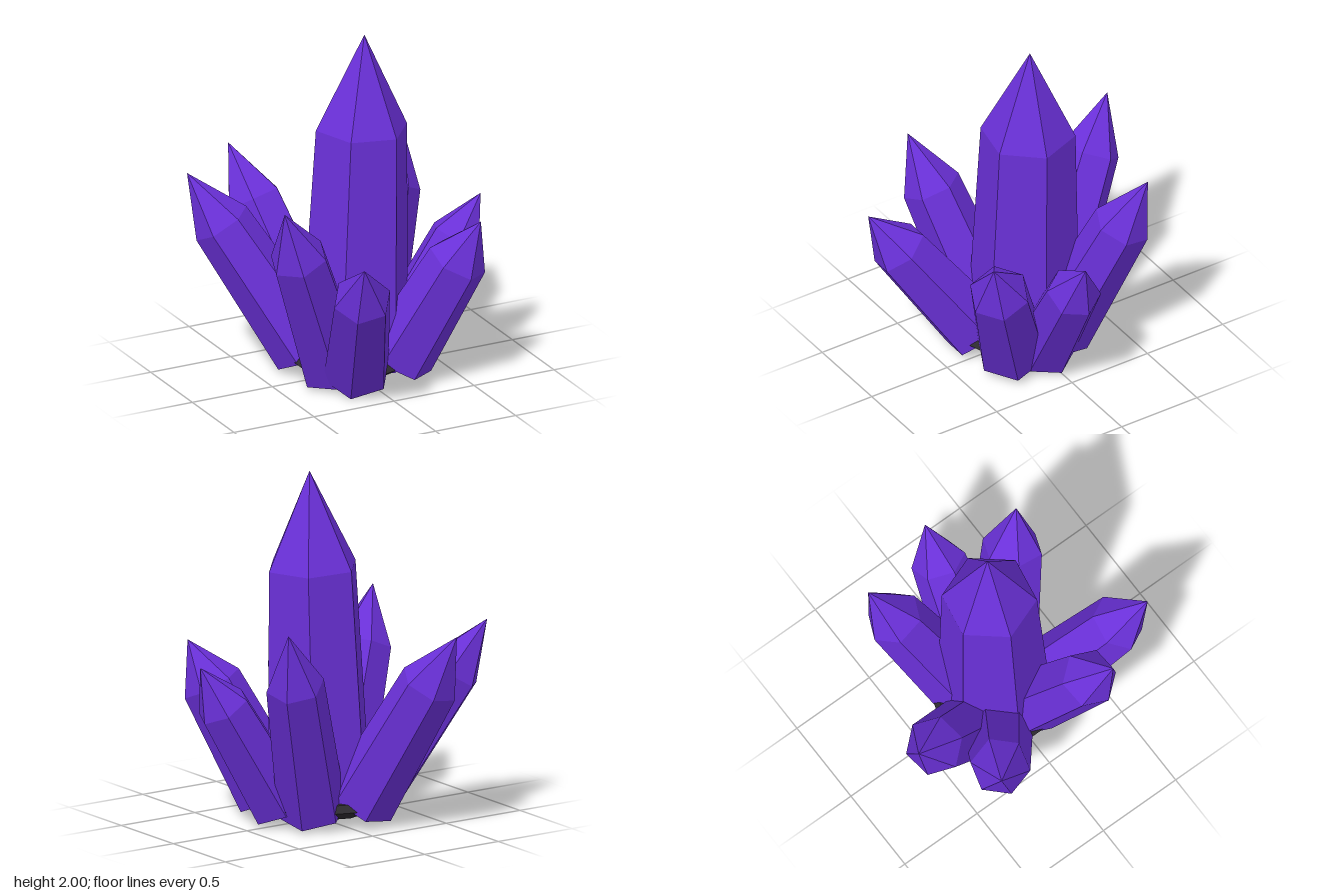
import * as THREE from 'three';

const rad = THREE.MathUtils.degToRad;

// Faceted solid of revolution from [radius, height] pairs
function faceted(profile, sides, start) {
  const points = profile.map(([r, y]) => new THREE.Vector2(r, y));
  const geo = new THREE.LatheGeometry(points, sides, rad(start)).toNonIndexed();
  geo.computeVertexNormals();
  return geo;
}

// Six-sided crystal from base centre to tip, tapering to a shoulder and then a point
function crystal(name, base, tip, baseRadius, shoulderRadius, twist, material) {
  const axis = tip.clone().sub(base);
  const length = axis.length();
  axis.normalize();
  const side = new THREE.Vector3(axis.z, 0, -axis.x).normalize();
  const outward = side.clone().cross(axis);
  const geo = faceted(
    [[0, 0], [baseRadius, 0], [shoulderRadius, length * 0.715], [0, length]], 6, twist);
  geo.applyMatrix4(new THREE.Matrix4().makeBasis(side, axis, outward).setPosition(base));
  const mesh = new THREE.Mesh(geo, material);
  mesh.name = name;
  return mesh;
}

export function createModel() {
  const purple = new THREE.MeshStandardMaterial({ color: 0x6a30d8 });
  purple.name = 'crystal purple';
  const dark = new THREE.MeshStandardMaterial({ color: 0x2e2b30 });
  dark.name = 'dark rock';

  const group = new THREE.Group();
  group.name = 'crystalCluster';

  // Rock holding the crystals together
  const rock = new THREE.Mesh(
    faceted([[0, 0.06], [0.29, 0.06], [0.37, 0.11], [0.34, 0.15], [0, 0.18]], 10, 0), dark);
  rock.name = 'rockBase';
  group.add(rock);

  // Tall middle crystal
  group.add(crystal('mainCrystal', new THREE.Vector3(0.01, 0.08, 0),
    new THREE.Vector3(0.075, 2, 0), 0.315, 0.265, -10, purple));

  // Leaning crystals: tip x, y, z, distance of base from centre, base height, shoulder radius, twist
  const leaning = [
    ['backCrystal', -0.36, 1.15, -0.8, 0.26, 0.13, 0.168, 13],
    ['backRightCrystal', -0.76, 1.14, -0.525, 0.25, 0.12, 0.168, 20],
    ['backLeftCrystal', 0.55, 1.22, -0.47, 0.2, 0.1, 0.165, -3],
    ['leftCrystal', 0.76, 0.955, 0.08, 0.26, 0.115, 0.155, 10],
    ['frontLeftCrystal', 0.525, 0.99, 0.535, 0.27, 0.125, 0.172, 20],
    ['frontCrystal', -0.34, 0.95, 0.8, 0.26, 0.115, 0.166, -12],
    ['frontRightCrystal', -0.61, 1.18, 0.36, 0.2, 0.095, 0.166, -20],
  ];
  for (const [name, x, y, z, distance, height, radius, twist] of leaning) {
    const base = new THREE.Vector3(x, 0, z).setLength(distance).setY(height);
    group.add(crystal(name, base, new THREE.Vector3(x, y, z), radius * 1.18, radius, twist, purple));
  }
  return group;
}
